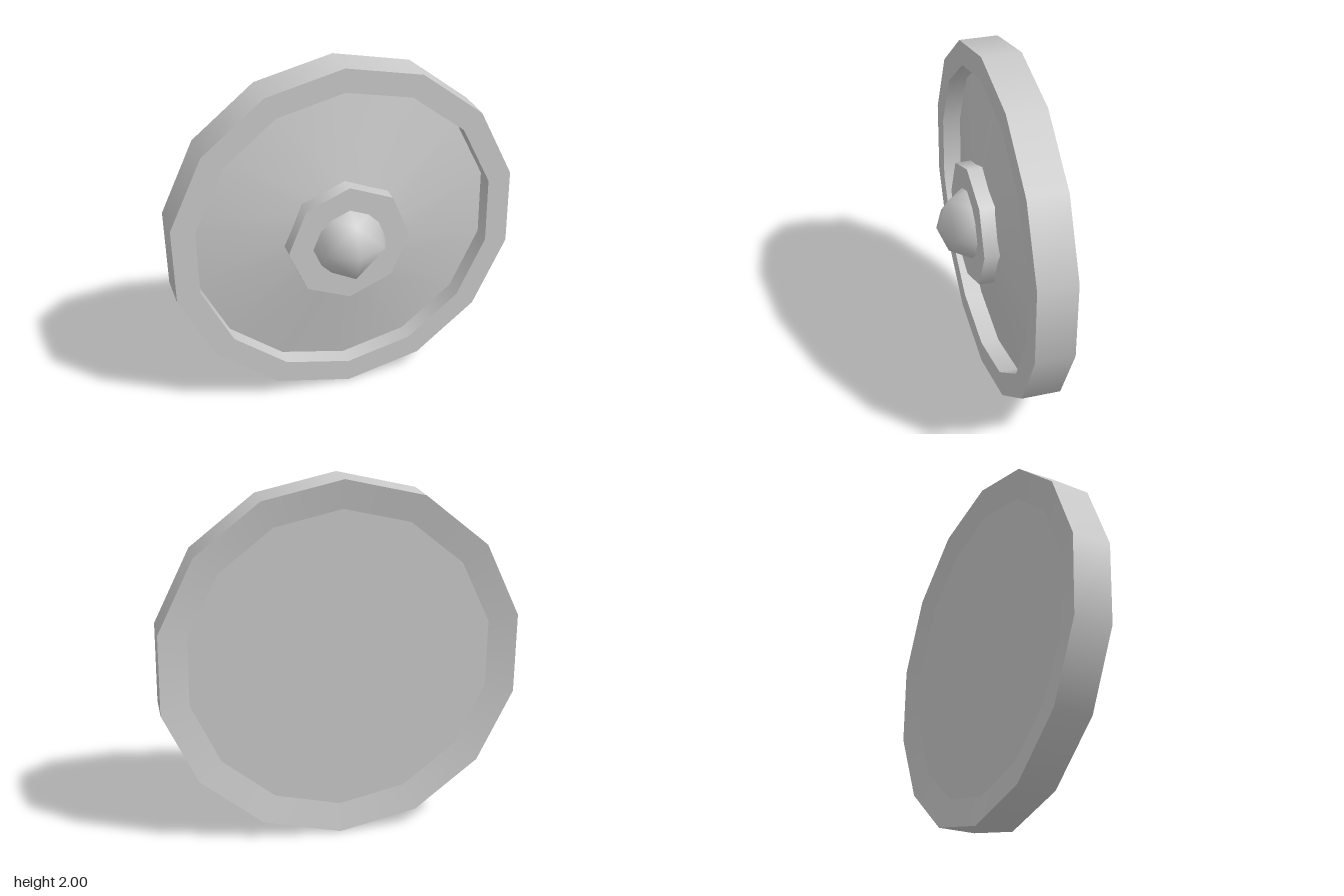
import * as THREE from 'three';

const grey = new THREE.MeshStandardMaterial({ color: 0xcccccc });

// Revolves an [radius, z] profile about the z axis; each span is its own
// surface, so it is smooth around the axis and sharp between spans.
function turned(name, profile, sides) {
  const part = new THREE.Group();
  part.name = name;
  for (let i = 0; i < profile.length - 1; i++) {
    const span = [profile[i], profile[i + 1]].map(([r, z]) => new THREE.Vector2(r, z));
    const geometry = new THREE.LatheGeometry(span, sides);
    geometry.rotateX(Math.PI / 2);
    const mesh = new THREE.Mesh(geometry, grey);
    mesh.name = `${name}Surface${i + 1}`;
    part.add(mesh);
  }
  return part;
}

export function createModel() {
  const model = new THREE.Group();
  model.name = 'roundShield';

  // Fourteen-sided disc: dished back, raised rim, shallow cone in front
  const disc = turned('disc', [
    [0, -0.205], [0.84, -0.205], [1, -0.235], [1, -0.02],
    [0.865, -0.02], [0.865, -0.125], [0.3, -0.02], [0, -0.01],
  ], 14);
  disc.position.set(-0.002, 1, 0);
  disc.rotation.z = 0.01;
  model.add(disc);

  // Octagonal plate in the middle
  const plate = turned('centrePlate', [[0.347, -0.04], [0.347, 0.058], [0, 0.058]], 8);
  plate.position.set(-0.013, 0.998, 0);
  model.add(plate);

  // Low-poly round boss
  const boss = new THREE.Mesh(new THREE.OctahedronGeometry(0.234, 1), grey);
  boss.name = 'boss';
  boss.position.set(-0.013, 0.998, 0);
  // Keep only the front half, the rest would poke through the back
  const p = boss.geometry.attributes.position;
  for (let i = 0; i < p.count; i++) p.setZ(i, Math.max(p.getZ(i), 0));
  model.add(boss);

  return model;
}
